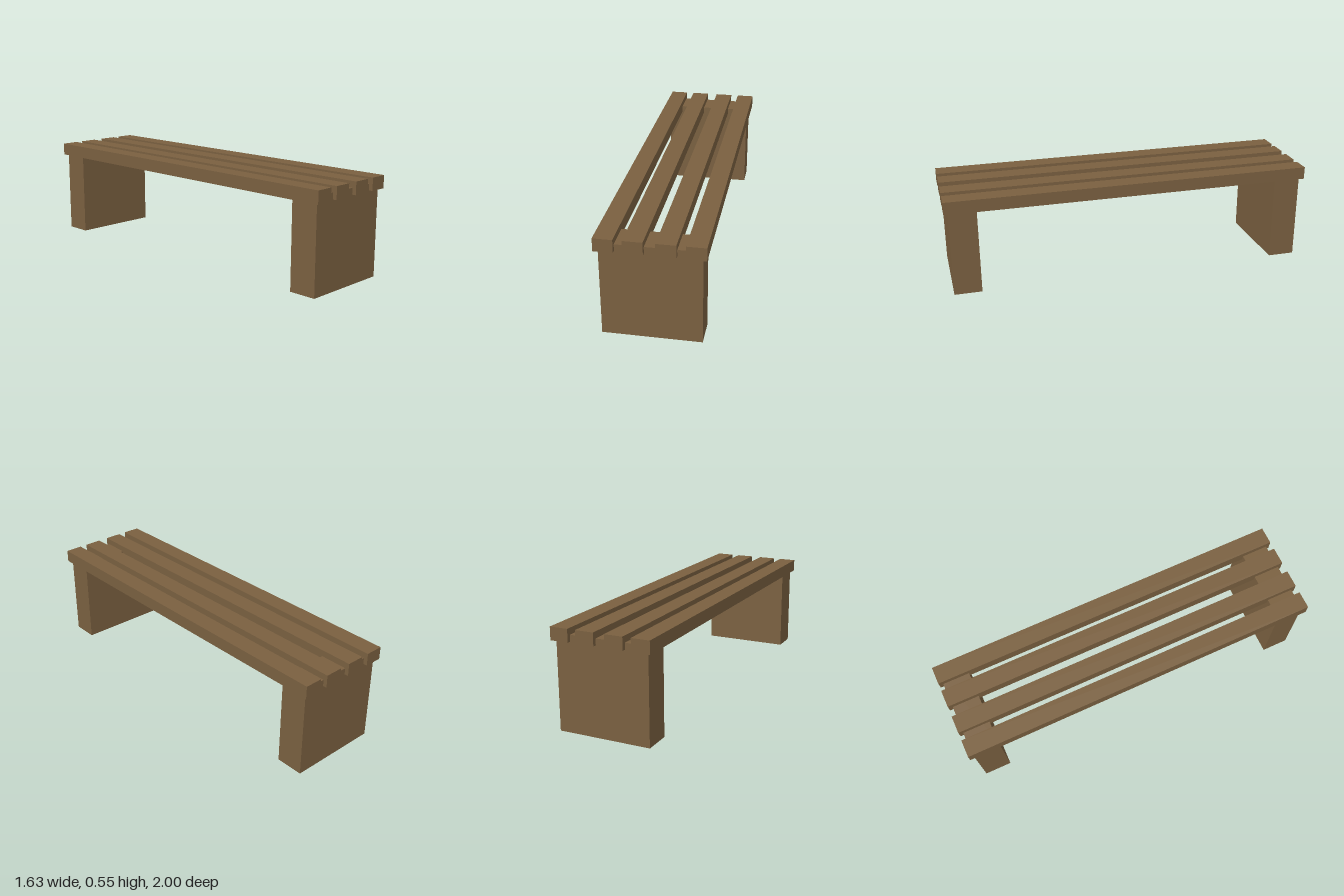
import * as THREE from 'three';

export function createModel() {
  const wood = new THREE.MeshStandardMaterial({ color: 0x7a6040 });
  wood.name = 'brown wood';

  const model = new THREE.Group();
  model.name = 'slattedBench';

  // the bench stands turned about the vertical axis
  const bench = new THREE.Group();
  bench.name = 'bench';
  bench.rotation.y = THREE.MathUtils.degToRad(35);
  model.add(bench);

  const addBox = (name, w, h, d, x, bottom, z) => {
    const mesh = new THREE.Mesh(new THREE.BoxGeometry(w, h, d), wood);
    mesh.name = name;
    mesh.position.set(x, bottom + h / 2, z);
    bench.add(mesh);
  };

  // four long seat slats, notched over the legs
  [-0.225, -0.08, 0.08, 0.225].forEach((x, i) =>
    addBox(`seatSlat${i + 1}`, 0.1, 0.07, 2.056, x, 0.48, 0));

  // slab legs at both ends, rising a little between the slats
  for (const side of [-1, 1])
    addBox(side > 0 ? 'frontLeg' : 'backLeg', 0.51, 0.515, 0.152, 0, 0, side * 0.93);

  return model;
}
